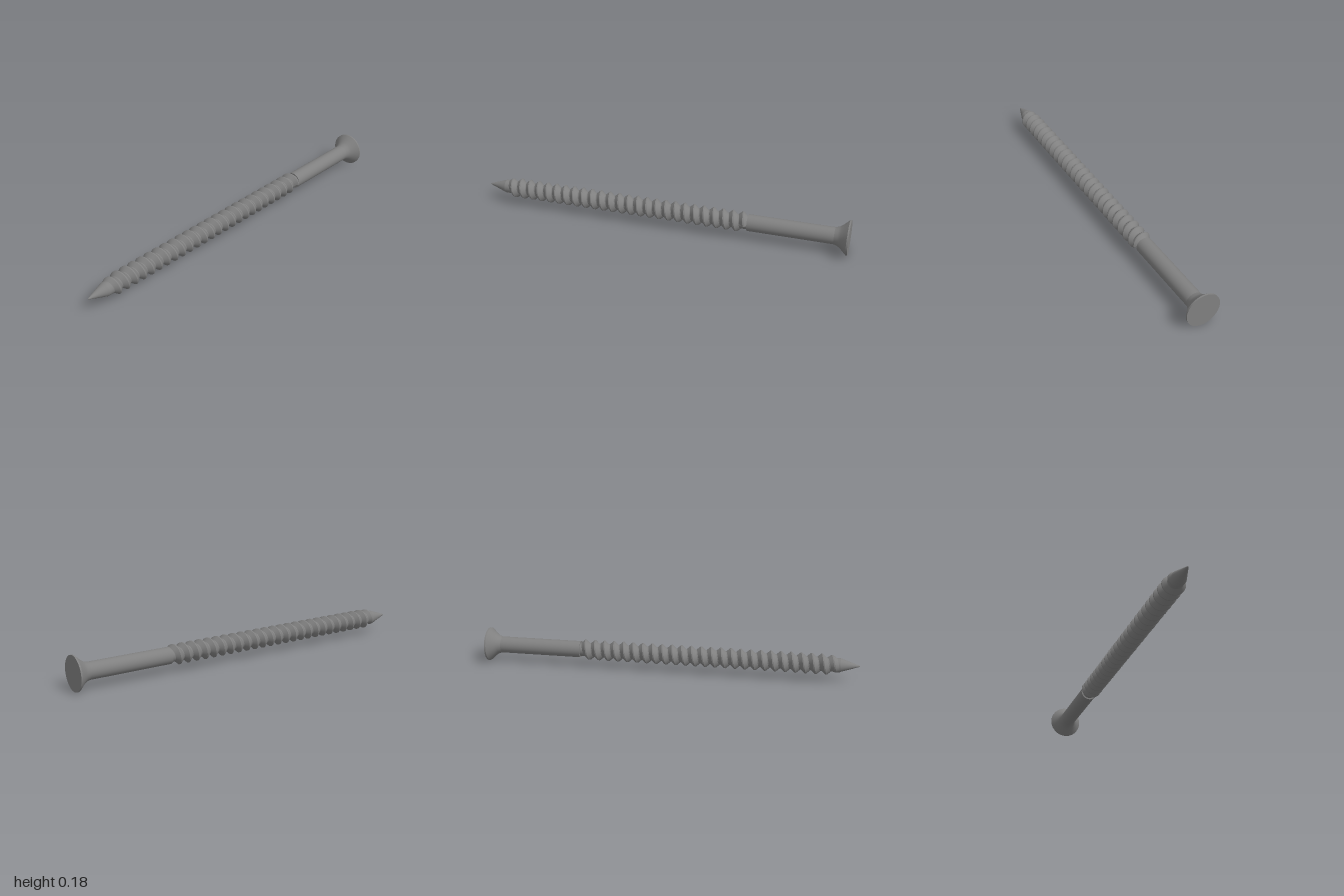
import * as THREE from 'three';
import { mergeGeometries } from 'three/addons/utils/BufferGeometryUtils.js';

const AXIS_Y = 0.09;
const CORE = 0.036, CREST = 0.054, SHANK = 0.044;
const PITCH = 0.0525, THREAD_BACK = -0.466, THREAD_FRONT = 0.889;

// Solid of revolution around z; each run of [radius, z] is shaded smoothly on its own
function turned(...runs) {
  return mergeGeometries(runs.map(run =>
    new THREE.LatheGeometry(run.map(([r, z]) => new THREE.Vector2(r, z)), 48).rotateX(Math.PI / 2)));
}

// Helical ridge: two flanks and a narrow crest swept along a right-handed helix
function threadGeometry() {
  const turns = (THREAD_FRONT - THREAD_BACK) / PITCH;
  const perTurn = 40, steps = Math.round(turns * perTurn);
  const sectionAt = i => {
    const turn = (i / steps) * turns;
    const a = turn * Math.PI * 2;
    const z = THREAD_BACK + turn * PITCH;
    const fade = Math.min(1, 0.1 + (turns - turn) / 0.9); // runs out towards the tip
    const crest = CORE + (CREST - CORE) * fade;
    const point = (r, dz) => [Math.cos(a) * r, Math.sin(a) * r, z + dz * PITCH];
    const root = CORE - 0.001;
    return [point(root, -0.47), point(crest, -0.06), point(crest, 0.06), point(root, 0.47)];
  };
  const sections = Array.from({ length: steps + 1 }, (_, i) => sectionAt(i));
  const build = (points, index) => {
    const g = new THREE.BufferGeometry();
    g.setAttribute('position', new THREE.Float32BufferAttribute(points.flat(), 3));
    g.setIndex(index);
    g.computeVertexNormals();
    return g;
  };
  const parts = [];
  for (let s = 0; s < 3; s++) {
    const points = [], index = [];
    sections.forEach((sec, i) => {
      points.push(sec[s], sec[s + 1]);
      if (i < steps) {
        const k = i * 2;
        index.push(k, k + 2, k + 1, k + 1, k + 2, k + 3);
      }
    });
    parts.push(build(points, index));
  }
  // End faces of the ridge
  parts.push(build(sections[0], [0, 1, 2, 0, 2, 3]));
  parts.push(build(sections[steps], [0, 2, 1, 0, 3, 2]));
  return mergeGeometries(parts);
}

export function createModel() {
  const model = new THREE.Group();
  model.name = 'woodScrew';
  const steel = new THREE.MeshStandardMaterial({ color: 0x808080 });
  steel.name = 'greySteel';

  const add = (name, geometry) => {
    const mesh = new THREE.Mesh(geometry, steel);
    mesh.name = name;
    mesh.position.y = AXIS_Y;
    model.add(mesh);
  };

  // Flat countersunk head with a thin rim
  add('head', turned(
    [[0, -1], [0.09, -1]],
    [[0.09, -1], [0.09, -0.992]],
    [[0.09, -0.992], [0.072, -0.973], [0.058, -0.957], [0.049, -0.943], [SHANK, -0.925]]));

  // Smooth shank ending in a step down to the core
  add('shank', turned(
    [[SHANK, -0.925], [SHANK, -0.48]],
    [[SHANK, -0.48], [CORE - 0.002, -0.48]]));

  add('threadCore', turned([[CORE, -0.482], [CORE, 0.9]]));
  add('thread', threadGeometry());

  // Slightly blunted point
  add('tip', turned(
    [[CORE, 0.9], [0.005, 0.993]],
    [[0.005, 0.993], [0.003, 0.998], [0, 1]]));

  return model;
}
